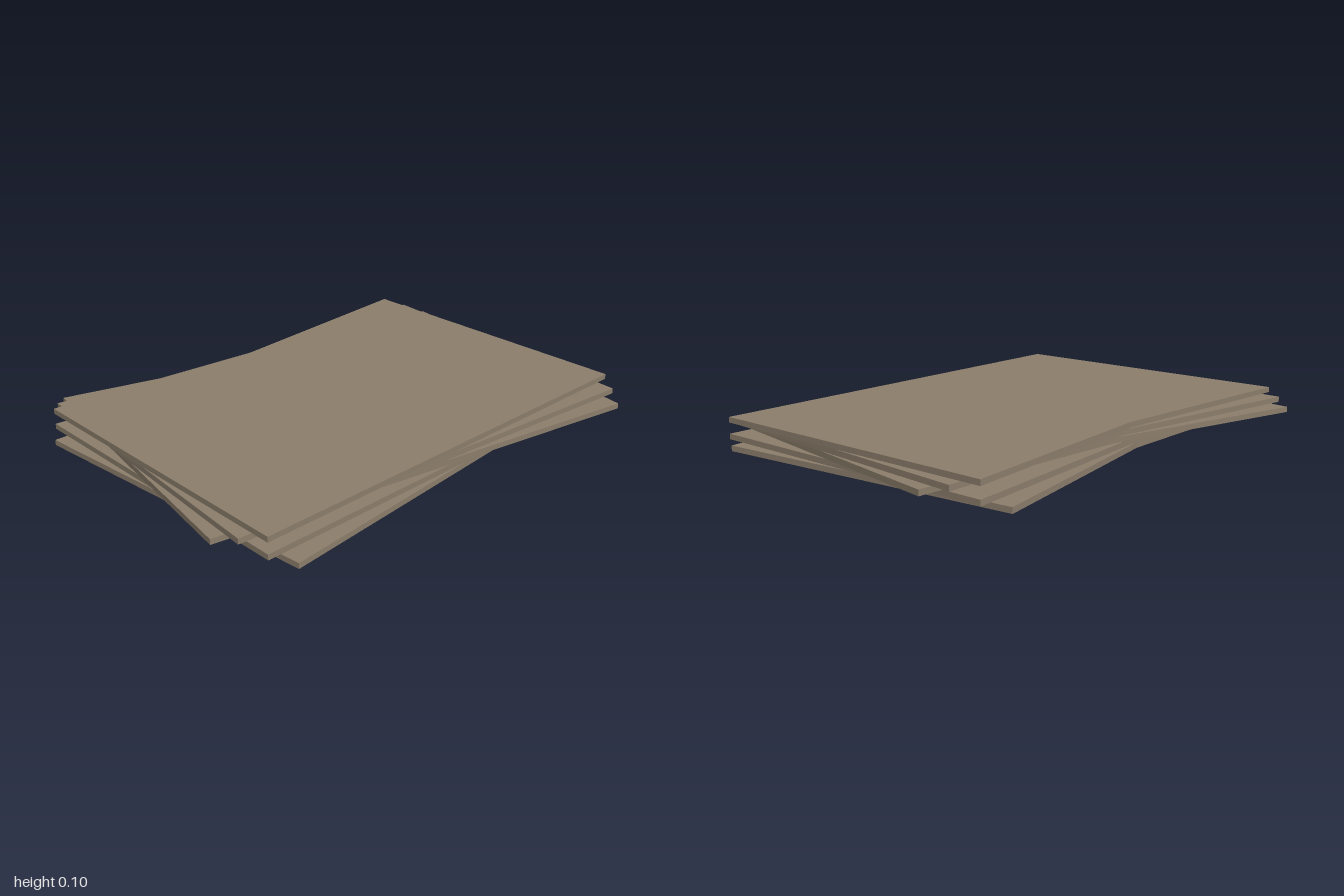
import * as THREE from 'three';

// A loose stack of five thin slabs, each with a shallow notch in its back edge
export function createModel() {
  const group = new THREE.Group();
  group.name = 'slabStack';
  const stone = new THREE.MeshStandardMaterial({ color: 0x8b7d6b });
  stone.name = 'taupe stone';

  const halfW = 0.87, halfD = 0.608, notch = 0.53, thickness = 0.0206;

  // Slab outline: shape y becomes -z once laid flat
  const outline = new THREE.Shape([
    new THREE.Vector2(-halfW, -halfD),
    new THREE.Vector2(halfW, -halfD),
    new THREE.Vector2(halfW, halfD),
    new THREE.Vector2(0, notch),
    new THREE.Vector2(-halfW, halfD),
  ]);
  const geometry = new THREE.ExtrudeGeometry(outline, { depth: thickness, bevelEnabled: false });
  geometry.rotateX(-Math.PI / 2);

  // Twist of each layer in degrees, bottom to top
  [0, 5, 15, 10, 5].forEach((degrees, i) => {
    const slab = new THREE.Mesh(geometry, stone);
    slab.name = `slab${i + 1}`;
    slab.position.y = i * thickness;
    slab.rotation.y = -THREE.MathUtils.degToRad(degrees);
    group.add(slab);
  });
  return group;
}
